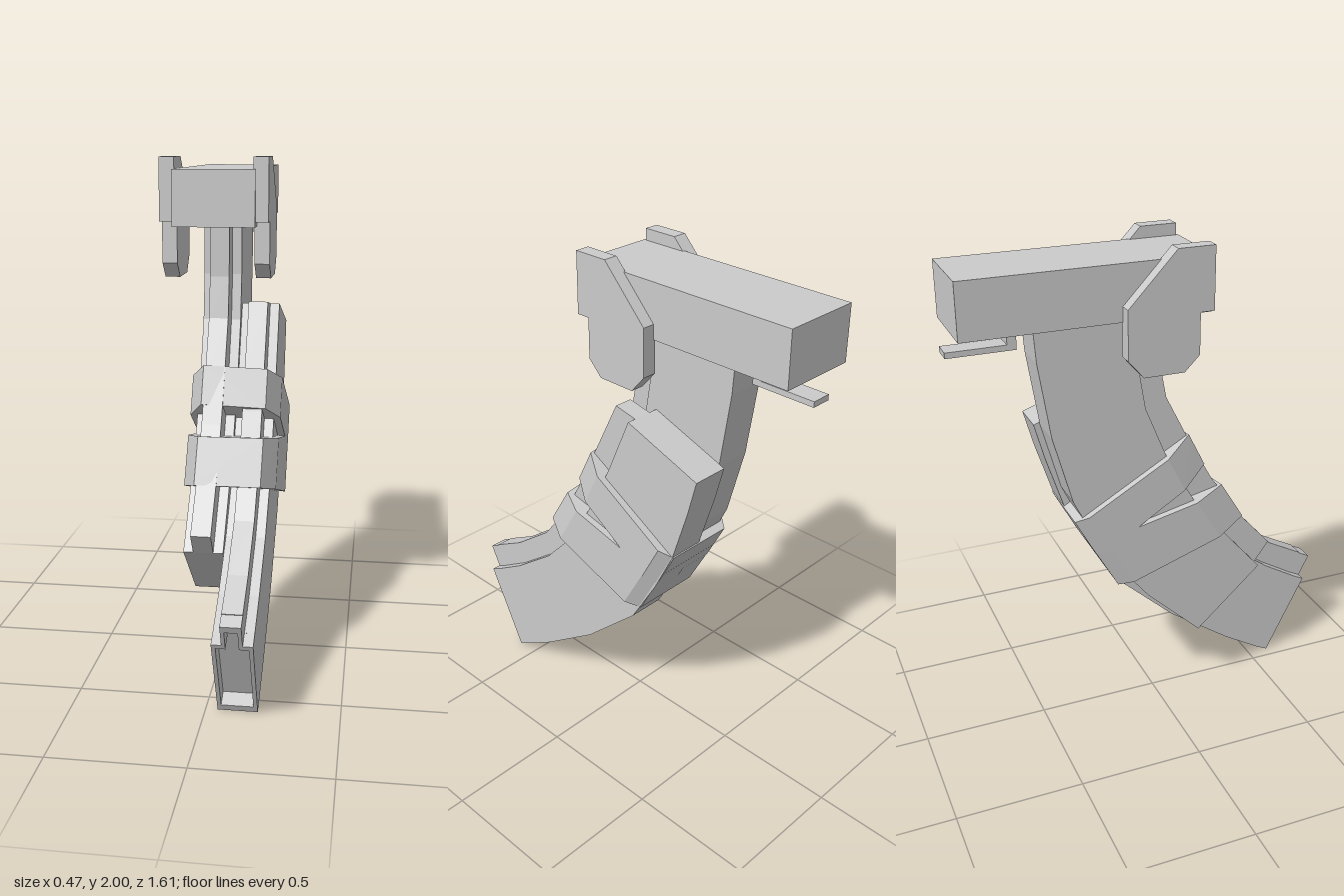
import * as THREE from 'three';
import { ConvexGeometry } from 'three/addons/geometries/ConvexGeometry.js';

const material = new THREE.MeshStandardMaterial({ color: 0xcccccc, flatShading: true });

const toShape = pts => new THREE.Shape(pts.map(p => new THREE.Vector2(p[0], p[1])));

function addMesh(parent, name, geometry) {
  const mesh = new THREE.Mesh(geometry, material);
  mesh.name = name;
  parent.add(mesh);
  return mesh;
}

// Side profile given as [z, y] points, extruded to a width centred on x
function sideExtrude(points, x, width) {
  const geo = new THREE.ExtrudeGeometry(toShape(points), { depth: width, bevelEnabled: false });
  geo.translate(0, 0, -width / 2);
  geo.rotateY(-Math.PI / 2);
  geo.translate(x, 0, 0);
  return geo;
}

// Curved magazine: a wide body with a narrow rib along its front
function magazine(name, x, rib, front, back) {
  const group = new THREE.Group();
  group.name = name;
  addMesh(group, 'magazineBody', sideExtrude([...front, ...[...back].reverse()], x, 0.15));
  addMesh(group, 'magazineRib', sideExtrude([...rib, ...[...front].reverse()], x, 0.076));
  return group;
}

// Clamp band: one chamfered outline [x, t] placed on two tilted planes.
// Each plane runs from a back point (t = 0) to a front point (t = 1), as [z, y].
const clampOutline = [
  [-0.075, 1], [0.172, 0.95], [0.222, 0.77], [0.227, 0.1],
  [0.19, 0], [-0.1, 0], [-0.135, 0.1], [-0.135, 0.77],
];
function clampBand(planes) {
  const points = [];
  for (const [back, front] of planes) {
    for (const [x, t] of clampOutline) {
      points.push(new THREE.Vector3(
        x,
        THREE.MathUtils.lerp(back[1], front[1], t),
        THREE.MathUtils.lerp(back[0], front[0], t),
      ));
    }
  }
  return new ConvexGeometry(points);
}

export function createModel() {
  const model = new THREE.Group();
  model.name = 'coupledMagazines';

  // Receiver block
  const block = new THREE.BoxGeometry(0.315, 0.213, 0.94);
  block.translate(-0.032, 1.848, -0.315);
  addMesh(model, 'receiverBlock', block);

  // Side plates
  const plate = [
    [0.145, 2], [0, 2], [-0.19, 1.8], [-0.19, 1.61], [-0.13, 1.54],
    [0.03, 1.54], [0.09, 1.6], [0.09, 1.76], [0.145, 1.76],
  ];
  for (const side of [-1, 1]) {
    addMesh(model, side < 0 ? 'rightPlate' : 'leftPlate',
      sideExtrude(plate, -0.032 + side * 0.178, 0.058));
  }

  // Release latch under the back of the block
  addMesh(model, 'latch', sideExtrude([
    [-0.55, 1.745], [-0.55, 1.65], [-0.81, 1.65], [-0.81, 1.672],
    [-0.585, 1.672], [-0.585, 1.72], [-0.69, 1.72], [-0.7, 1.745],
  ], -0.03, 0.08));

  // Magazine seated in the block
  model.add(magazine('upperMagazine', -0.03,
    [[0, 1.75], [0, 1.54], [0.03, 1.38], [0.13, 1.18], [0.23, 1.0], [0.36, 0.81], [0.507, 0.645]],
    [[-0.1, 1.75], [-0.1, 1.54], [-0.07, 1.36], [0.02, 1.14], [0.14, 0.93], [0.29, 0.74], [0.445, 0.56]],
    [[-0.5, 1.75], [-0.49, 1.6], [-0.445, 1.3], [-0.37, 1.02], [-0.25, 0.77], [-0.06, 0.53], [0.17, 0.31]]));

  // Spare magazine beside it, stopping short of the hollow mouth
  const spare = magazine('lowerMagazine', 0.12,
    [[-0.03, 1.44], [0.09, 1.2], [0.17, 1.04], [0.28, 0.84], [0.41, 0.68], [0.6, 0.54], [0.756, 0.457]],
    [[-0.13, 1.42], [-0.02, 1.17], [0.07, 0.99], [0.2, 0.77], [0.36, 0.6], [0.565, 0.45], [0.706, 0.367]],
    [[-0.47, 1.3], [-0.43, 1.15], [-0.36, 0.93], [-0.27, 0.75], [-0.15, 0.55], [0.11, 0.31], [0.38, 0.12], [0.536, 0.027]]);
  model.add(spare);

  // Mouth rim: the magazine's section with a smaller opening
  const section = (w, v0, v1, neck, v2) => [
    [-w, v0], [w, v0], [w, v1], [neck, v1], [neck, v2], [-neck, v2], [-neck, v1], [-w, v1],
  ];
  const rim = toShape(section(0.075, 0, 0.38, 0.038, 0.48));
  rim.holes.push(toShape(section(0.06, 0.03, 0.36, 0.024, 0.45)));
  const mouth = new THREE.ExtrudeGeometry(rim, { depth: 0.06, bevelEnabled: false });
  mouth.applyMatrix4(new THREE.Matrix4().makeBasis(
    new THREE.Vector3(1, 0, 0),
    new THREE.Vector3(0, 0.894, 0.447),
    new THREE.Vector3(0, -0.447, 0.894),
  ).setPosition(0.12, 0.027, 0.536));
  addMesh(spare, 'magazineMouth', mouth);

  // Clamp: two bands that meet at the back
  const clamp = new THREE.Group();
  clamp.name = 'clamp';
  addMesh(clamp, 'upperBand', clampBand([
    [[-0.365, 0.93], [0.125, 1.21]],
    [[-0.28, 0.77], [0.195, 1.07]],
  ]));
  addMesh(clamp, 'lowerBand', clampBand([
    [[-0.312, 0.83], [0.275, 0.963]],
    [[-0.19, 0.61], [0.375, 0.8]],
  ]));
  model.add(clamp);

  return model;
}
